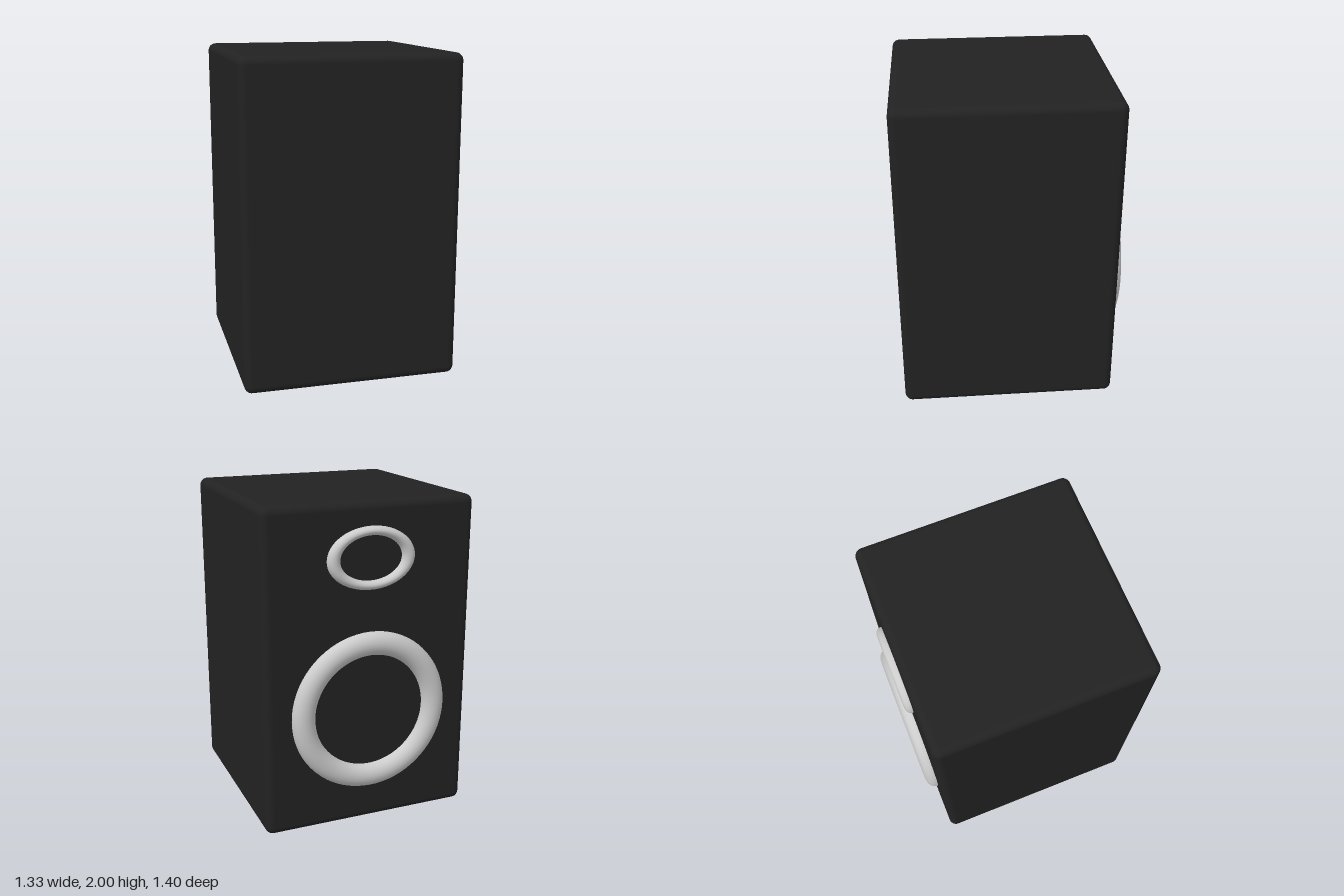
import * as THREE from 'three';
import { RoundedBoxGeometry } from 'three/addons/geometries/RoundedBoxGeometry.js';

const BACK = -0.635; // plane that carries the driver rings

// Torus ring squashed to the given half width, half height and protrusion
function ring(name, y, halfWidth, halfHeight, depth, material) {
  const tube = 0.145;
  const mesh = new THREE.Mesh(new THREE.TorusGeometry(1 - tube, tube, 24, 72), material);
  mesh.name = name;
  mesh.scale.set(halfWidth, halfHeight, depth / tube);
  mesh.position.set(0.003, y, BACK);
  return mesh;
}

export function createModel() {
  const group = new THREE.Group();
  group.name = 'speaker';
  const black = new THREE.MeshStandardMaterial({ color: 0x222222 });
  const grey = new THREE.MeshStandardMaterial({ color: 0xcccccc });

  // Cabinet with softened edges
  const cabinet = new THREE.Mesh(new RoundedBoxGeometry(1.33, 2, 1.335, 5, 0.048), black);
  cabinet.name = 'cabinet';
  cabinet.position.set(0, 1, BACK + 1.335 / 2);
  group.add(cabinet);

  // Large lower ring and small oval upper ring
  group.add(ring('wooferRing', 0.73, 0.498, 0.498, 0.065, grey));
  group.add(ring('tweeterRing', 1.672, 0.276, 0.187, 0.041, grey));
  return group;
}
